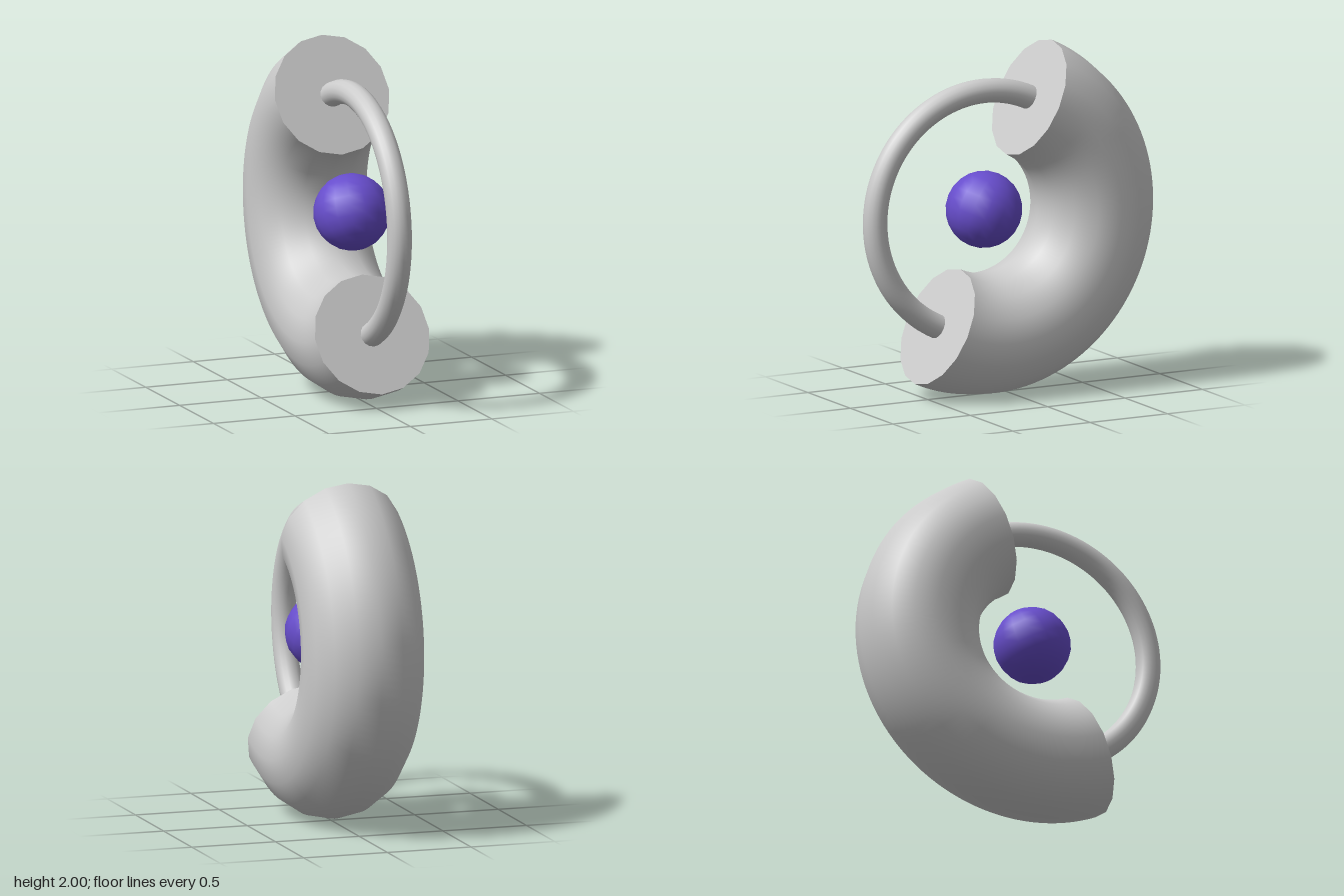
import * as THREE from 'three';

export function createModel() {
  const model = new THREE.Group();
  const grey = new THREE.MeshStandardMaterial({ color: 0xcccccc });
  const purple = new THREE.MeshStandardMaterial({ color: 0x674dcc });

  const R = 0.7, bodyRadius = 0.35, ringRadius = 0.07;
  const center = new THREE.Vector3(0, 1.05, 0.14);
  const tilt = THREE.MathUtils.degToRad(25);

  // half torus standing in the yz plane, starting at the given angle from +z
  function halfTorus(name, tube, start) {
    const group = new THREE.Group();
    group.name = name;
    group.position.copy(center);
    group.rotation.set(0, -Math.PI / 2, start);
    const arc = new THREE.Mesh(new THREE.TorusGeometry(R, tube, 16, 64, Math.PI), grey);
    arc.name = name + 'Tube';
    group.add(arc);
    model.add(group);
    return group;
  }

  // thick rear half with flat end caps
  const body = halfTorus('thickArc', bodyRadius, Math.PI / 2 + tilt);
  for (const side of [1, -1]) {
    const cap = new THREE.Mesh(new THREE.CircleGeometry(bodyRadius, 16), grey);
    cap.name = 'endCap';
    cap.position.x = side * R;
    cap.rotation.x = Math.PI / 2;
    body.add(cap);
  }

  // thin front half joining the two caps
  halfTorus('thinArc', ringRadius, -Math.PI / 2 + tilt);

  // floating ball in the middle
  const ball = new THREE.Mesh(new THREE.SphereGeometry(0.22, 16, 12), purple);
  ball.name = 'ball';
  ball.position.set(0, 1.065, 0.137);
  ball.rotation.x = -tilt;
  model.add(ball);

  return model;
}
